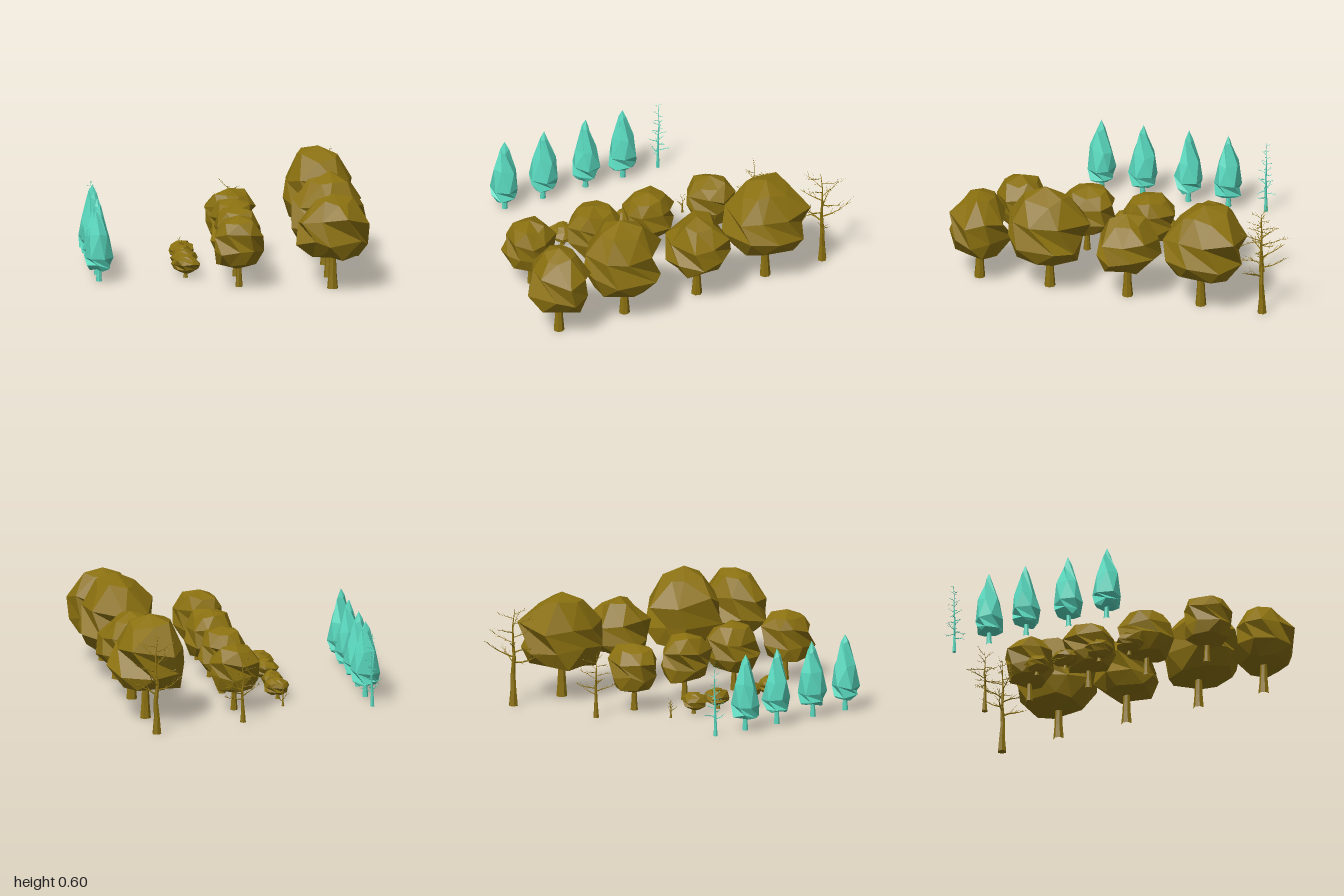
import * as THREE from 'three';
import { mergeGeometries } from 'three/addons/utils/BufferGeometryUtils.js';

const olive = new THREE.MeshStandardMaterial({ color: 0x8a7010, flatShading: true });
const teal = new THREE.MeshStandardMaterial({ color: 0x58d6bc, flatShading: true });

// Small seeded generator, 0..1
function seeded(seed) {
  let s = seed * 7919 + 13;
  return () => {
    s = (s * 16807) % 2147483647;
    return s / 2147483647;
  };
}

// Repeatable noise from a position, -1..1, so shared corners move together
function noise(x, y, z, seed) {
  const q = (v) => Math.round(v * 100);
  const n = Math.sin(q(x) * 12.99 + q(y) * 78.23 + q(z) * 37.72 + seed * 4.13) * 4375.85;
  return (n - Math.floor(n)) * 2 - 1;
}

// Faceted crown: a rounded lathe with jittered corners.
// skew lowers the widest ring; under and over set how pointed each half is
function crown({ sides, rings, skew, under, over, rough }, size, seed) {
  const outline = [];
  for (let i = 0; i <= rings; i++) {
    const a = Math.PI * i / rings;
    const r = i % rings === 0 ? 0 : Math.sin(a) ** (i * 2 < rings ? under : over);
    outline.push(new THREE.Vector2(r, ((1 - Math.cos(a)) / 2) ** skew));
  }
  const geo = new THREE.LatheGeometry(outline, sides);
  const p = geo.attributes.position;
  for (let i = 0; i < p.count; i++) {
    const x = p.getX(i), y = p.getY(i), z = p.getZ(i);
    const radius = Math.hypot(x, z);
    const r = radius * (1 + rough * noise(x, y, z, seed));
    const stagger = (i % (rings + 1)) % 2 * Math.PI / sides + seed;
    const a = Math.atan2(z, x) + stagger + rough * 1.6 * noise(x, y, z, seed + 5);
    const lift = radius > 0.01 ? rough * 0.5 * noise(x, y, z, seed + 9) : 0;
    p.setXYZ(i, r * Math.cos(a), y + lift, r * Math.sin(a));
  }
  // Give the crown its own width, height and depth, standing on y = 0
  geo.center();
  const span = geo.boundingBox.getSize(new THREE.Vector3());
  geo.scale(size.x / span.x, size.y / span.y, size.z / span.z);
  geo.translate(0, size.y / 2, 0);
  geo.computeVertexNormals();
  return geo;
}

// Tapered stick between two points
function stick(a, b, ra, rb, sides) {
  const d = b.clone().sub(a);
  const geo = new THREE.CylinderGeometry(rb, ra, d.length(), sides);
  geo.applyQuaternion(new THREE.Quaternion().setFromUnitVectors(
    new THREE.Vector3(0, 1, 0), d.clone().normalize()));
  return geo.translate((a.x + b.x) / 2, (a.y + b.y) / 2, (a.z + b.z) / 2);
}

// Crooked branch that grows side twigs
function branch(parts, start, dir, length, radius, depth, rand) {
  const steps = depth > 0 ? 4 : 2;
  let a = start.clone();
  const d = dir.clone().normalize();
  for (let i = 0; i < steps; i++) {
    d.x += (rand() - 0.5) * 0.35;
    d.y += (rand() - 0.4) * 0.4;
    d.z += (rand() - 0.5) * 0.35;
    d.normalize();
    const b = a.clone().addScaledVector(d, length / steps);
    parts.push(stick(a, b, radius * (1 - i / steps), radius * (1 - (i + 1) / steps) + 0.0004, 4));
    if (depth > 0 && i < steps - 1) {
      for (const side of [-1, 1]) {
        const out = d.clone().applyAxisAngle(new THREE.Vector3(0, 1, 0), side * (0.4 + rand() * 0.4));
        out.y += (rand() - 0.3) * 0.8;
        branch(parts, b, out, length * (0.15 + 0.2 * rand()), radius * 0.4, depth - 1, rand);
      }
    }
    a = b;
  }
}

// Leafless tree: wobbling trunk with branches spiralling up it
function bareTree({ height, radius, reach, from, count, rise, taper }, seed) {
  const rand = seeded(seed);
  const parts = [];
  const path = [];
  for (let i = 0; i <= 6; i++) {
    const w = i > 1 ? height * 0.03 : 0;
    path.push(new THREE.Vector3((rand() - 0.5) * w, height * i / 6, (rand() - 0.5) * w));
  }
  const thick = (t) => radius * Math.max(0.05, t < 0.17 ? 1 - t * 2 : 0.78 * (1 - t));
  for (let i = 0; i < 6; i++) {
    parts.push(stick(path[i], path[i + 1], thick(i / 6), thick((i + 1) / 6), 6));
  }
  for (let i = 0; i < count; i++) {
    const t = from + (0.95 - from) * i / (count - 1);
    const k = Math.min(5, Math.floor(t * 6));
    const start = path[k].clone().lerp(path[k + 1], t * 6 - k);
    const a = i * 2.4 + rand() * 0.6;
    const dir = new THREE.Vector3(Math.cos(a), rise * (0.4 + rand()), Math.sin(a));
    const length = reach * (1 - taper * (t - from) / (1 - from)) * (0.8 + 0.4 * rand());
    branch(parts, start, dir, length, radius * 0.26 * (1.2 - t), 1, rand);
  }
  return mergeGeometries(parts);
}

// Flared trunk of a leafy tree
function trunk(radius, height) {
  const outline = [];
  for (let t = 0; t <= 1; t += 0.25) {
    outline.push(new THREE.Vector2(radius * (0.62 + 0.38 * (1 - t) ** 3), height * t));
  }
  return new THREE.LatheGeometry(outline, 7);
}

// One row along z: leafy plants given as [z, width, depth, top], then a bare one
function addRow(model, { name, material, x, bottom, trunkRadius, shape, plants, bareZ, bare }, seed) {
  const add = (parent, part, geo, px, py, pz) => {
    const mesh = new THREE.Mesh(geo, material);
    mesh.name = part;
    mesh.position.set(px, py, pz);
    parent.add(mesh);
  };
  plants.forEach(([z, width, depth, top], i) => {
    const tree = new THREE.Group();
    tree.name = name;
    const size = new THREE.Vector3(width, top - bottom, depth);
    add(tree, 'crown', crown(shape, size, seed * 4 + i), x, bottom, z);
    add(tree, 'trunk', trunk(trunkRadius, bottom + size.y * 0.35), x, 0, z);
    model.add(tree);
  });
  add(model, name + 'Bare', bareTree(bare, seed + 2), x, 0, bareZ);
}

export function createModel() {
  const model = new THREE.Group();
  model.name = 'treeSet';

  addRow(model, {
    name: 'tallTree', material: olive, x: 0.572, bottom: 0.17, trunkRadius: 0.031,
    shape: { sides: 8, rings: 5, skew: 1.25, under: 0.65, over: 1.2, rough: 0.13 },
    plants: [[-0.465, 0.435, 0.47, 0.6], [-0.04, 0.385, 0.36, 0.5],
      [0.41, 0.43, 0.47, 0.6], [0.817, 0.41, 0.365, 0.53]],
    bareZ: -0.82,
    bare: { height: 0.55, radius: 0.026, reach: 0.22, from: 0.4, count: 12, rise: 0.4, taper: 0.6 },
  }, 1);

  addRow(model, {
    name: 'mediumTree', material: olive, x: 0.057, bottom: 0.1, trunkRadius: 0.021,
    shape: { sides: 8, rings: 5, skew: 1, under: 0.55, over: 0.8, rough: 0.11 },
    plants: [[-0.38, 0.29, 0.27, 0.38], [-0.01, 0.26, 0.3, 0.38],
      [0.352, 0.29, 0.315, 0.39], [0.73, 0.275, 0.29, 0.4]],
    bareZ: -0.66,
    bare: { height: 0.36, radius: 0.017, reach: 0.13, from: 0.36, count: 13, rise: 0.35, taper: 0.5 },
  }, 2);

  addRow(model, {
    name: 'bush', material: olive, x: -0.224, bottom: 0.02, trunkRadius: 0.014,
    shape: { sides: 8, rings: 6, skew: 1, under: 1.2, over: 1.2, rough: 0.14 },
    plants: [[-0.188, 0.14, 0.135, 0.12], [-0.01, 0.12, 0.15, 0.12],
      [0.202, 0.155, 0.145, 0.13], [0.39, 0.16, 0.15, 0.13]],
    bareZ: -0.355,
    bare: { height: 0.1, radius: 0.008, reach: 0.045, from: 0.25, count: 8, rise: 1.3, taper: 0.4 },
  }, 3);

  addRow(model, {
    name: 'conifer', material: teal, x: -0.71, bottom: 0.06, trunkRadius: 0.017,
    shape: { sides: 6, rings: 6, skew: 2.3, under: 0.5, over: 1.8, rough: 0.09 },
    plants: [-0.232, 0, 0.265, 0.502].map((z) => [z, 0.16, 0.155, 0.43]),
    bareZ: -0.45,
    bare: { height: 0.42, radius: 0.012, reach: 0.065, from: 0.2, count: 24, rise: 0.2, taper: 0.7 },
  }, 4);

  return model;
}
